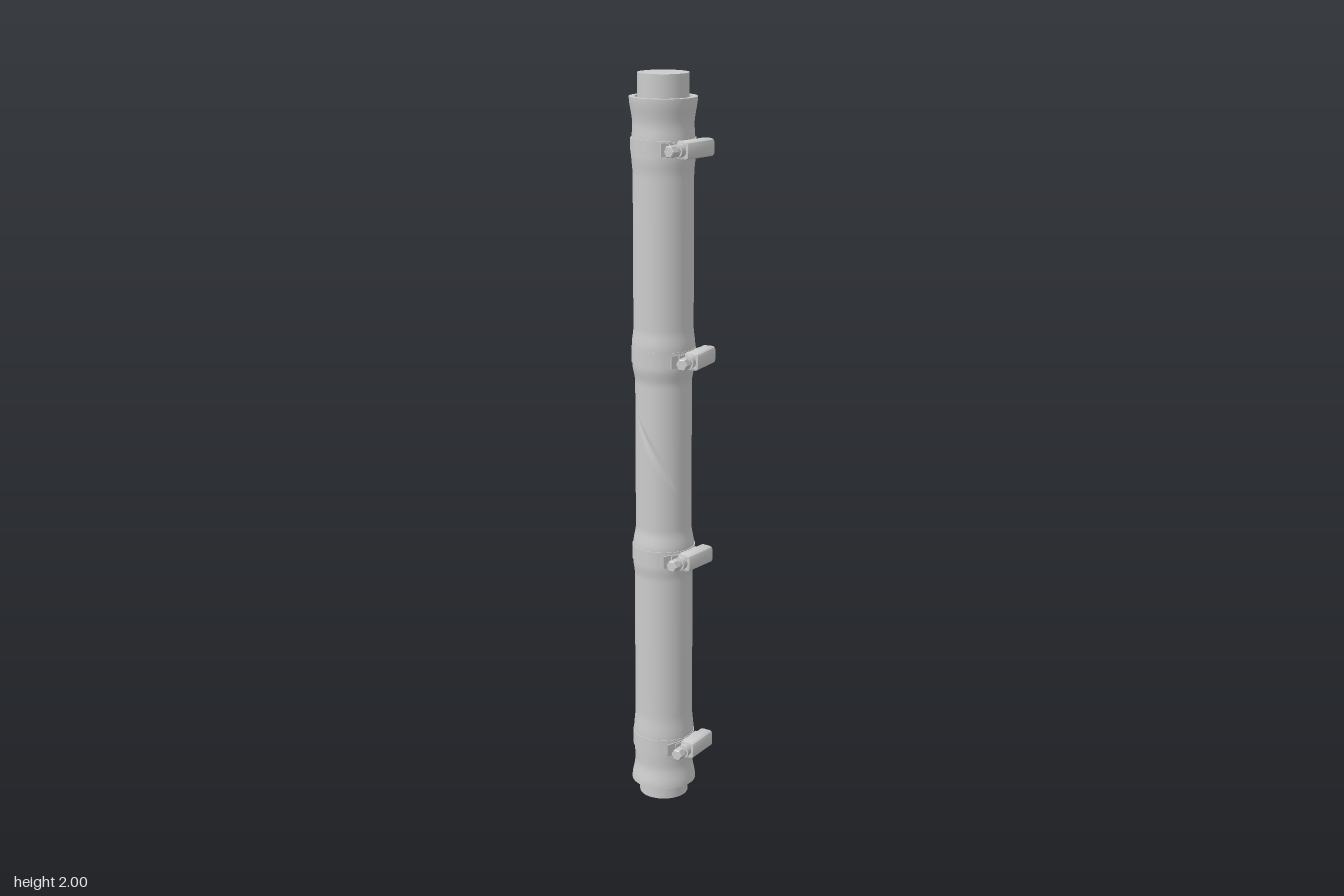
import * as THREE from 'three';
import { mergeVertices, toCreasedNormals } from 'three/addons/utils/BufferGeometryUtils.js';

const grey = new THREE.MeshStandardMaterial({ color: 0xcccccc, side: THREE.DoubleSide });
const V2 = (x, y) => new THREE.Vector2(x, y);

function add(parent, name, geometry, x = 0, y = 0, z = 0) {
  const mesh = new THREE.Mesh(geometry, grey);
  mesh.name = name;
  mesh.position.set(x, y, z);
  parent.add(mesh);
  return mesh;
}

// Sleeve outline as [height, radius]; eased between points
const outline = [
  [0.04, 0.0885], [0.1, 0.08], [0.14, 0.081], [0.185, 0.0835], [0.25, 0.079], [0.65, 0.079],
  [0.69, 0.083], [0.735, 0.083], [0.79, 0.0755], [1.19, 0.0755], [1.24, 0.083], [1.29, 0.084],
  [1.34, 0.0795], [1.74, 0.0795], [1.79, 0.083], [1.83, 0.082], [1.87, 0.08], [1.94, 0.0885],
];

function sleeveRadius(y) {
  let i = 0;
  while (i < outline.length - 2 && y > outline[i + 1][0]) i++;
  const [y0, r0] = outline[i], [y1, r1] = outline[i + 1];
  return THREE.MathUtils.lerp(r0, r1, THREE.MathUtils.smoothstep(y, y0, y1));
}

// Leaf-shaped cuts: from (angle, height) to (angle, height) around the sleeve
const rad = THREE.MathUtils.degToRad;
const cuts = [
  { a: [rad(126), 1.11], b: [rad(31), 0.9], half: 0.014 },
  { a: [rad(-84), 0.525], b: [rad(-36), 0.365], half: 0.011 },
];

function cutDepth(angle, y) {
  let depth = 0;
  for (const { a, b, half } of cuts) {
    const R = 0.077;
    const axis = V2((b[0] - a[0]) * R, b[1] - a[1]);
    const length = axis.length();
    axis.divideScalar(length);
    const p = V2((angle - a[0]) * R, y - a[1]);
    const t = 2 * p.dot(axis) / length - 1;
    const w = half * (1 - t * t);
    const d = Math.abs(p.cross(axis));
    if (w > 0 && d < w) depth = Math.max(depth, 0.005 * (1 - t * t) * (1 - d / w));
  }
  return depth;
}

function sleeveGeometry() {
  const points = [];
  const rows = 300;
  for (let i = 0; i <= rows; i++) {
    const y = 0.04 + 1.9 * i / rows;
    points.push(V2(sleeveRadius(y), y));
  }
  let geo = new THREE.LatheGeometry(points, 128);
  geo.deleteAttribute('uv');
  geo.deleteAttribute('normal');
  geo = mergeVertices(geo, 1e-5);
  const pos = geo.attributes.position;
  for (let i = 0; i < pos.count; i++) {
    const x = pos.getX(i), y = pos.getY(i), z = pos.getZ(i);
    const r = Math.hypot(x, z);
    const k = (r - cutDepth(Math.atan2(z, x), y)) / r;
    pos.setXYZ(i, x * k, y, z * k);
  }
  geo.computeVertexNormals();
  return geo;
}

// Flat rim and short bore at a sleeve end
function rimGeometry(y, inward) {
  const pts = [V2(0.0885, y), V2(0.074, y), V2(0.071, y + inward * 0.05), V2(0.066, y + inward * 0.05)];
  return toCreasedNormals(new THREE.LatheGeometry(pts, 64), 0.6);
}

function roundedRect(w, h, r) {
  const s = new THREE.Shape();
  const x = w / 2, y = h / 2;
  s.moveTo(-x + r, -y);
  s.lineTo(x - r, -y).quadraticCurveTo(x, -y, x, -y + r);
  s.lineTo(x, y - r).quadraticCurveTo(x, y, x - r, y);
  s.lineTo(-x + r, y).quadraticCurveTo(-x, y, -x, y - r);
  s.lineTo(-x, -y + r).quadraticCurveTo(-x, -y, -x + r, -y);
  return s;
}

function housingGeometry() {
  const shape = roundedRect(0.036, 0.042, 0.009);
  const hole = new THREE.Path();
  hole.absarc(0, 0, 0.0145, 0, Math.PI * 2, true);
  shape.holes.push(hole);
  const geo = new THREE.ExtrudeGeometry(shape, {
    depth: 0.1, bevelThickness: 0.002, bevelSize: 0.002, bevelSegments: 2, curveSegments: 10,
  });
  return toCreasedNormals(geo.translate(0, 0, -0.05), 0.6);
}

function slottedHead() {
  const shape = new THREE.Shape();
  for (let i = 0; i < 6; i++) {
    const a = i * Math.PI / 3;
    shape[i ? 'lineTo' : 'moveTo'](0.0165 * Math.cos(a), 0.0165 * Math.sin(a));
  }
  const slot = new THREE.Path();
  slot.setFromPoints([V2(-0.011, -0.002), V2(-0.011, 0.002), V2(0.011, 0.002), V2(0.011, -0.002)]);
  shape.holes.push(slot);
  return new THREE.ExtrudeGeometry(shape, {
    depth: 0.018, bevelThickness: 0.002, bevelSize: 0.002, bevelOffset: -0.002, bevelSegments: 1,
  });
}

// Hose clamp: local +x points away from the pipe, +z along the screw
function createClamp() {
  const clamp = new THREE.Group();
  clamp.name = 'hoseClamp';
  const band = [[0.082, -0.02], [0.0853, -0.02], [0.0853, 0.02], [0.082, 0.02], [0.082, -0.02]];
  add(clamp, 'clampBand', toCreasedNormals(
    new THREE.LatheGeometry(band.map(([r, y]) => V2(r, y)), 64), 0.6));
  add(clamp, 'saddle', new THREE.BoxGeometry(0.008, 0.036, 0.07), 0.087);
  add(clamp, 'screwHousing', housingGeometry(), 0.108);

  // Worm screw with collar and hexagonal head
  const cylinder = (r, l) => new THREE.CylinderGeometry(r, r, l, 24).rotateX(Math.PI / 2);
  add(clamp, 'screwShaft', cylinder(0.011, 0.1), 0.107, 0, 0.008);
  add(clamp, 'screwCollar', cylinder(0.0175, 0.016), 0.104, 0, 0.06);
  add(clamp, 'screwHeadBase', new THREE.CylinderGeometry(0.0165, 0.0165, 0.02, 6)
    .rotateX(Math.PI / 2).rotateZ(Math.PI / 2 + Math.PI), 0.102, 0, 0.068);
  add(clamp, 'screwHead', slottedHead(), 0.102, 0, 0.078);

  // Loose ends of the strap
  const tail = add(clamp, 'strapTail', new THREE.BoxGeometry(0.003, 0.034, 0.07), 0.077, 0, 0.053);
  tail.rotation.y = -0.33;
  const tip = add(clamp, 'strapTip', new THREE.BoxGeometry(0.003, 0.034, 0.04), 0.086, 0, 0.05);
  tip.rotation.y = -0.25;
  return clamp;
}

export function createModel() {
  const model = new THREE.Group();
  model.name = 'clampedPipe';
  const pipe = new THREE.Group();
  pipe.name = 'pipe';
  pipe.position.set(-0.025, 0, -0.0145);
  model.add(pipe);

  add(pipe, 'innerPipe', new THREE.CylinderGeometry(0.067, 0.067, 2, 64), 0, 1, 0);
  add(pipe, 'sleeve', sleeveGeometry());
  add(pipe, 'bottomRim', rimGeometry(0.04, 1));
  add(pipe, 'topRim', rimGeometry(1.94, -1));

  // Clamps, each turned a little differently: [height, angle]
  for (const [y, angle] of [[1.815, 9], [1.265, -5], [0.715, 6], [0.165, 0]]) {
    const clamp = createClamp();
    clamp.position.y = y;
    clamp.rotation.y = -rad(angle);
    pipe.add(clamp);
  }
  return model;
}
